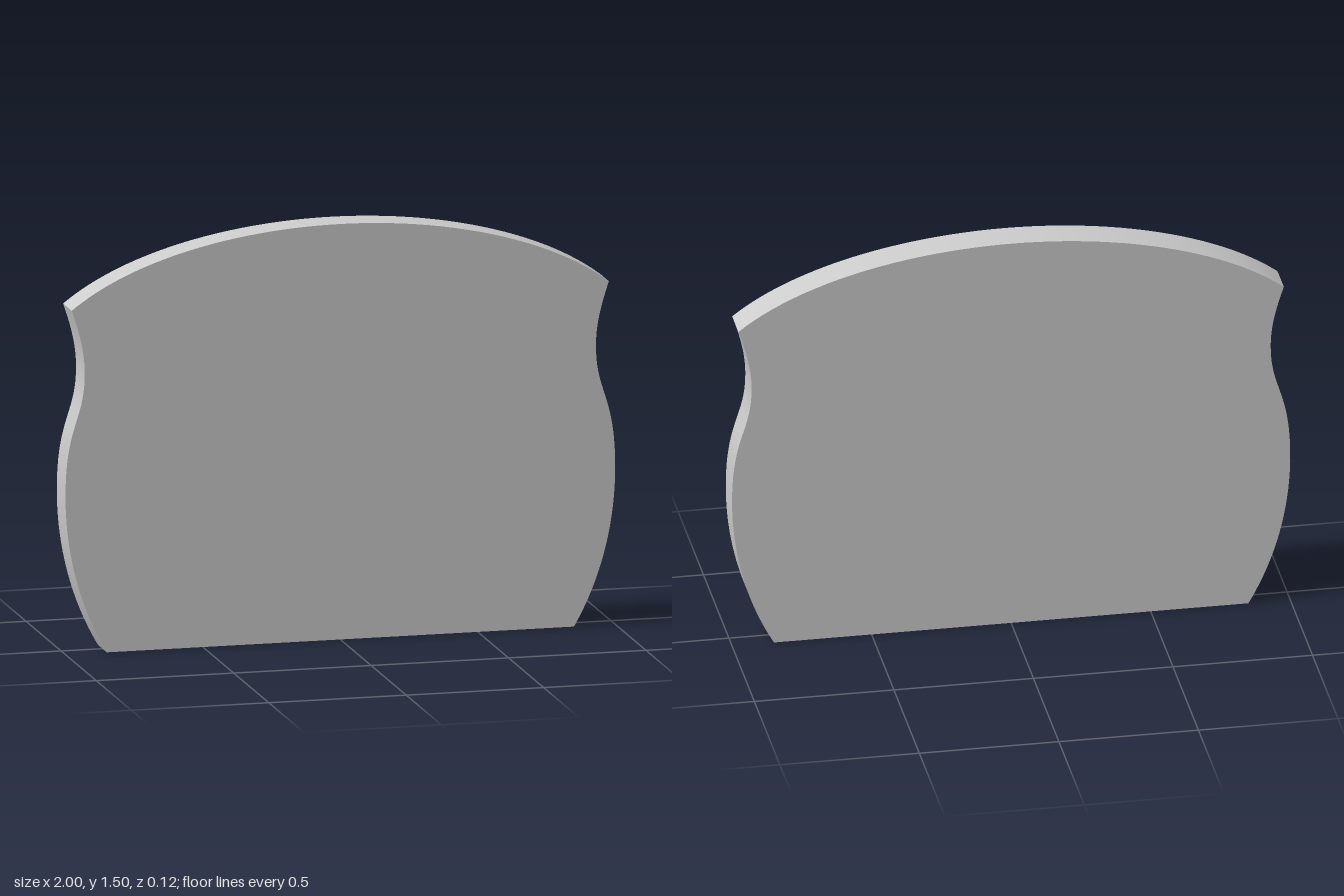
import * as THREE from 'three';
import { toCreasedNormals } from 'three/addons/utils/BufferGeometryUtils.js';

const THICKNESS = 0.124;

// Right-hand half of the outline, from the foot up to the crown:
// each row is a cubic curve (control 1, control 2, end)
const START = [0.85, 0];
const HALF = [
  [0.95, 0.17, 1.0, 0.37, 1.0, 0.57],    // bulging lower side
  [1.0, 0.83, 0.93, 0.84, 0.93, 1.01],   // sweep into the waist
  [0.93, 1.09, 0.95, 1.16, 0.977, 1.24], // flare to the shoulder corner
  [0.76, 1.41, 0.38, 1.5, 0, 1.5],       // arched top
];

function panelShape() {
  const shape = new THREE.Shape();
  shape.moveTo(...START);
  for (const curve of HALF) shape.bezierCurveTo(...curve);
  // Mirrored half, walked back down from the crown
  for (let i = HALF.length - 1; i >= 0; i--) {
    const [ax, ay, bx, by] = HALF[i];
    const [ex, ey] = i > 0 ? HALF[i - 1].slice(4) : START;
    shape.bezierCurveTo(-bx, by, -ax, ay, -ex, ey);
  }
  shape.closePath();
  return shape;
}

export function createModel() {
  const group = new THREE.Group();
  group.name = 'headboard';

  // Flat panel with smooth side walls and sharp face edges
  const extruded = new THREE.ExtrudeGeometry(panelShape(), {
    depth: THICKNESS,
    bevelEnabled: false,
    curveSegments: 24,
  });
  extruded.translate(0, 0, -THICKNESS / 2);
  const panel = new THREE.Mesh(
    toCreasedNormals(extruded, Math.PI / 6),
    new THREE.MeshStandardMaterial({ color: 0xcccccc })
  );
  panel.name = 'panel';
  group.add(panel);

  return group;
}
